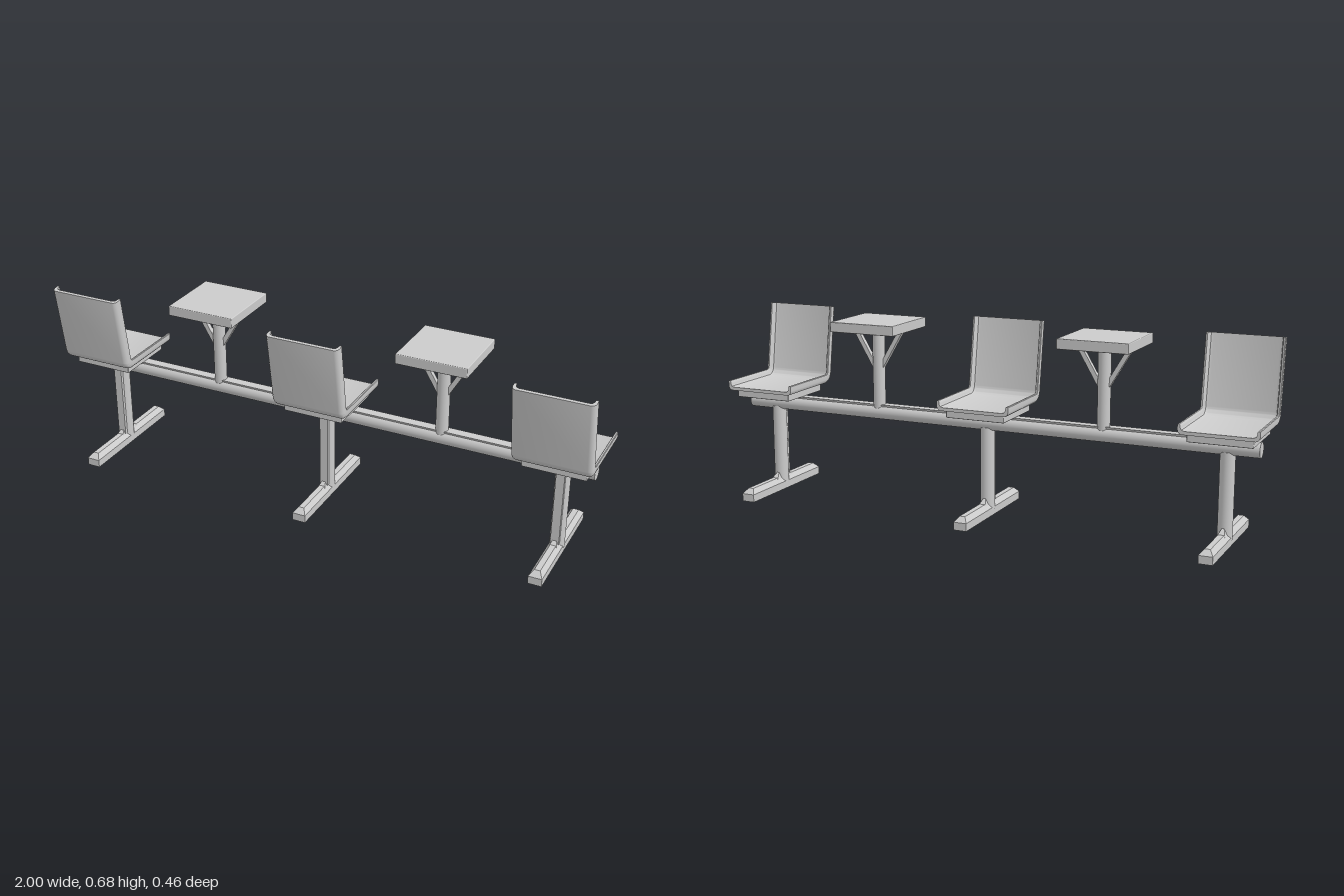
import * as THREE from 'three';
import { toCreasedNormals } from 'three/addons/utils/BufferGeometryUtils.js';
import { RoundedBoxGeometry } from 'three/addons/geometries/RoundedBoxGeometry.js';

const material = new THREE.MeshStandardMaterial({ color: 0xcccccc });

function add(parent, name, geometry, x = 0, y = 0, z = 0) {
  const mesh = new THREE.Mesh(geometry, material);
  mesh.name = name;
  mesh.position.set(x, y, z);
  parent.add(mesh);
  return mesh;
}

function shapeOf(points) {
  return new THREE.Shape(points.map(([x, y]) => new THREE.Vector2(x, y)));
}

// Outline extruded symmetrically about z = 0
function plate(points, depth) {
  const g = new THREE.ExtrudeGeometry(shapeOf(points), { depth, bevelEnabled: false });
  return g.translate(0, 0, -depth / 2);
}

// Shell with raised side lips, swept along the seat, round the bend and up the back
function seatShellGeometry() {
  const half = [
    [0.12, 0], [0.127, 0.002], [0.133, 0.008], [0.135, 0.016], [0.135, 0.033],
    [0.133, 0.035], [0.128, 0.035], [0.126, 0.033], [0.125, 0.022], [0.121, 0.015], [0.112, 0.012],
  ];
  const section = [...half, ...half.map(([x, n]) => [-x, n]).reverse()];

  const lean = THREE.MathUtils.degToRad(8.5), r = 0.045, bend = 12;
  const path = [{ z: -0.13, y: 0.39, a: 0 }];
  for (let i = 0; i <= bend; i++) {
    const a = (i / bend) * (Math.PI / 2 - lean);
    path.push({ z: 0.12 + r * Math.sin(a), y: 0.435 - r * Math.cos(a), a });
  }
  const last = path[path.length - 1], len = 0.25;
  path.push({ z: last.z + len * Math.cos(last.a), y: last.y + len * Math.sin(last.a), a: last.a });

  const steps = path.length - 1;
  const g = new THREE.ExtrudeGeometry(shapeOf(section), { depth: 1, steps, bevelEnabled: false });
  const p = g.attributes.position;
  for (let i = 0; i < p.count; i++) {
    const { z, y, a } = path[Math.round(p.getZ(i) * steps)];
    const n = p.getY(i);
    p.setXYZ(i, p.getX(i), y + n * Math.cos(a), z - n * Math.sin(a));
  }
  return toCreasedNormals(g, 0.7);
}

// Box whose top face is narrowed to the given width and length
function taperedBox(w, h, d, topW, topD) {
  const g = new THREE.BoxGeometry(w, h, d);
  const p = g.attributes.position;
  for (let i = 0; i < p.count; i++) {
    if (p.getY(i) > 0) {
      p.setX(i, Math.sign(p.getX(i)) * topW / 2);
      p.setZ(i, Math.sign(p.getZ(i)) * topD / 2);
    }
  }
  const flat = g.toNonIndexed();
  flat.computeVertexNormals();
  return flat;
}

function makeSeat(shell) {
  const seat = new THREE.Group();
  seat.name = 'seat';
  add(seat, 'seatShell', shell);
  add(seat, 'seatPad', new RoundedBoxGeometry(0.22, 0.03, 0.226, 2, 0.003), 0, 0.377, 0.005);
  return seat;
}

function makeLeg() {
  const leg = new THREE.Group();
  leg.name = 'leg';
  add(leg, 'legPost', new THREE.CylinderGeometry(0.026, 0.026, 0.3, 32), 0, 0.17, 0);
  add(leg, 'legCoverStrip', new THREE.BoxGeometry(0.03, 0.275, 0.02), 0, 0.182, 0.023);
  // Foot with a ridged, bevelled top
  add(leg, 'footBase', new THREE.BoxGeometry(0.048, 0.028, 0.456), 0, 0.014, 0);
  add(leg, 'footTop', taperedBox(0.048, 0.018, 0.456, 0.02, 0.416), 0, 0.037, 0);
  // Gusset where the post meets the foot
  add(leg, 'footGusset', taperedBox(0.04, 0.037, 0.136, 0.006, 0.046), 0, 0.0465, 0);
  return leg;
}

function makeTable() {
  const table = new THREE.Group();
  table.name = 'table';
  add(table, 'tableTop', new RoundedBoxGeometry(0.252, 0.036, 0.254, 2, 0.003), 0, 0.654, 0);
  add(table, 'tablePost', new THREE.CylinderGeometry(0.0225, 0.0225, 0.296, 32), 0, 0.488, 0);
  const strut = plate([[0.015, 0.5], [0.022, 0.5], [0.096, 0.625], [0.096, 0.637], [0.084, 0.637], [0.015, 0.521]], 0.018);
  add(table, 'leftStrut', strut);
  add(table, 'rightStrut', strut).rotation.y = Math.PI;
  return table;
}

export function createModel() {
  const model = new THREE.Group();
  model.name = 'beamSeating';

  // Main beam with its mounting rail
  const beam = new THREE.CylinderGeometry(0.027, 0.027, 1.95, 32).rotateZ(Math.PI / 2);
  add(model, 'beam', beam, 0, 0.334, 0);
  add(model, 'mountingRail', taperedBox(1.86, 0.016, 0.026, 1.86, 0.036), 0, 0.355, 0);

  // Three seats, each over a leg
  const shell = seatShellGeometry();
  for (const x of [-0.864, 0, 0.864]) {
    const seat = makeSeat(shell);
    const leg = makeLeg();
    seat.position.x = leg.position.x = x;
    model.add(seat, leg);
  }

  // Small tables between the seats
  for (const x of [-0.432, 0.432]) {
    const table = makeTable();
    table.position.x = x;
    model.add(table);
  }
  return model;
}
